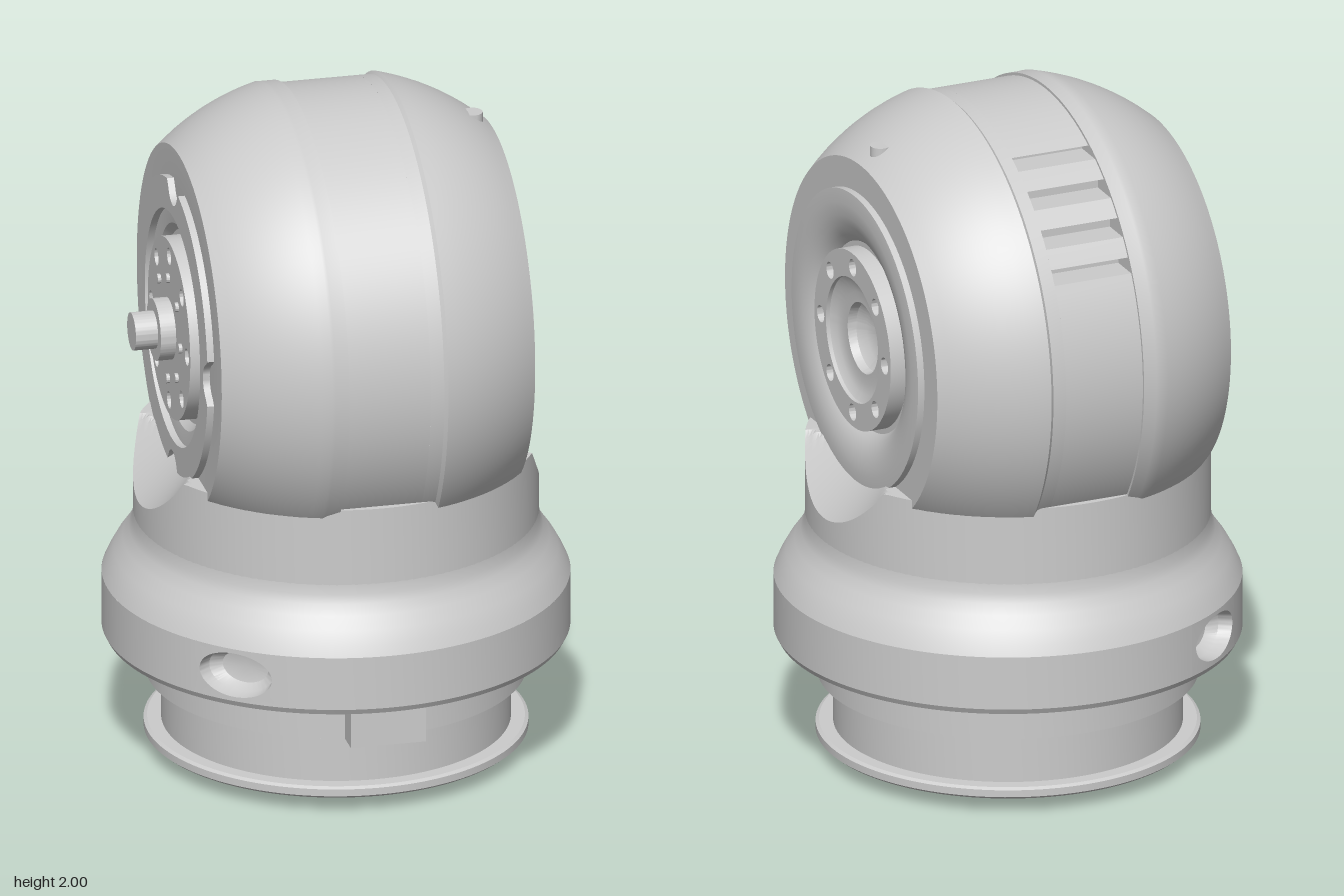
import * as THREE from 'three';
import { toCreasedNormals } from 'three/addons/utils/BufferGeometryUtils.js';

const AXIS_Y = 1.32;   // height of the horizontal joint axis
const R = 0.672;       // radius of the joint drum
const V2 = (p) => new THREE.Vector2(p[0], p[1]);

export function createModel() {
  const model = new THREE.Group();
  const mat = new THREE.MeshStandardMaterial({ color: 0xcccccc, side: THREE.DoubleSide });

  const add = (name, geo, parent = model, crease = 0.5) => {
    const mesh = new THREE.Mesh(toCreasedNormals(geo, crease), mat);
    mesh.name = name;
    parent.add(mesh);
    return mesh;
  };
  // points are [radius, y], from bottom to top
  const lathe = (pts, start = 0, length = Math.PI * 2, seg = 128) =>
    new THREE.LatheGeometry(pts.map(V2), seg, start, length);
  // points are [radius, x], turned round the joint axis
  const latheX = (pts) => lathe(pts).rotateZ(-Math.PI / 2);
  // shape in (-z, y) pushed along x from x0
  const extrudeX = (shape, x0, depth) =>
    new THREE.ExtrudeGeometry(shape, { depth, bevelEnabled: false, curveSegments: 48 })
      .rotateY(Math.PI / 2).translate(x0, 0, 0);
  const rod = (r, h, x, y, z, seg = 24) =>
    new THREE.CylinderGeometry(r, r, h, seg).translate(x, y, z);
  const ring8 = (fn) => {
    for (let i = 0; i < 8; i++) fn(Math.cos(i * Math.PI / 4), Math.sin(i * Math.PI / 4));
  };

  // ---- base: mounting flange with annular groove and centre bore
  add('baseFlange', lathe([
    [0, 0.13], [0.1, 0.13], [0.1, 0.045], [0.265, 0.045], [0.265, 0.1], [0.36, 0.1], [0.36, 0.045],
    [0.54, 0.045], [0.55, 0.053], [0.55, 0.074], [0.54, 0.08], [0.5, 0.08], [0.5, 0.23],
    [0.545, 0.23], [0.545, 0.36],
  ]));
  ring8((c, s) => {
    add('locatingPin', rod(0.023, 0.06, 0.22 * c, 0.03, 0.22 * s));
    const x = 0.445 * c, z = 0.445 * s;
    add('baseScrewRim', new THREE.TorusGeometry(0.045, 0.009, 8, 24)
      .rotateX(Math.PI / 2).translate(x, 0.045, z));
    add('baseScrew', rod(0.025, 0.02, x, 0.043, z, 6));
  });
  add('connectorBlock', new THREE.BoxGeometry(0.22, 0.12, 0.15).translate(0.01, 0.29, 0.535));

  // ---- skirt: the straight band leaves gaps for two oval ports
  add('skirtLower', lathe([[0.5, 0.347], [0.645, 0.347], [0.661, 0.353], [0.67, 0.37]]));
  add('skirtUpper', lathe([
    [0.67, 0.53], [0.657, 0.56], [0.635, 0.6], [0.61, 0.635], [0.592, 0.665], [0.583, 0.69], [0.58, 0.72],
  ]));
  const ports = [-0.68, Math.PI + 0.68], half = 0.2;
  const bandPts = [[0.67, 0.37], [0.67, 0.53]];
  add('skirtBand', lathe(bandPts, ports[0] + half, ports[1] - ports[0] - 2 * half));
  add('skirtBand', lathe(bandPts, ports[1] + half, ports[0] + 2 * Math.PI - ports[1] - 2 * half));
  // rows: [radius, blend from rectangle to oval, scale of oval]
  const rows = [[0.67, 0, 1], [0.67, 0.5, 1], [0.67, 1, 1], [0.63, 1, 0.95], [0.6, 1, 0.7], [0.59, 1, 0]];
  for (const phi of ports) {
    const n = 64, pos = [], idx = [];
    rows.forEach(([r, k, scale], i) => {
      for (let j = 0; j <= n; j++) {
        const t = (j / n) * Math.PI * 2, c = Math.cos(t), s = Math.sin(t);
        const m = Math.max(Math.abs(c), Math.abs(s));
        const a = phi + scale * c * THREE.MathUtils.lerp(half / m, 0.172, k);
        const y = 0.45 + scale * s * THREE.MathUtils.lerp(0.08 / m, 0.067, k);
        pos.push(r * Math.sin(a), y, r * Math.cos(a));
        if (i && j) {
          const d = i * (n + 1) + j - 1, p = d - n - 1;
          idx.push(p, p + 1, d, p + 1, d + 1, d);
        }
      }
    });
    const geo = new THREE.BufferGeometry();
    geo.setAttribute('position', new THREE.Float32BufferAttribute(pos, 3));
    geo.setIndex(idx);
    add('skirtPort', geo);
  }

  // ---- neck: its top is cut by a cone around each end of the joint axis
  const neckPts = [[0.58, 0.7], [0.58, 0.95]];
  for (let r = 0.57; r > 0.29; r -= 0.01) neckPts.push([r, 0.95]);
  const neck = lathe(neckPts, 0, Math.PI * 2, 192);
  const np = neck.attributes.position;
  for (let i = 0; i < np.count; i++) {
    if (np.getY(i) < 0.9) continue;
    const reach = Math.abs(np.getX(i)) - 0.05, z = np.getZ(i);
    const drop = reach > Math.abs(z) ? Math.sqrt(reach * reach - z * z) : 0;
    np.setY(i, Math.min(0.95, AXIS_Y - drop));
  }
  add('neck', neck);

  // ---- joint head, built round the x axis at the origin, then lifted
  const head = new THREE.Group();
  head.name = 'jointHead';
  head.position.y = AXIS_Y;
  model.add(head);

  const crown = [];
  for (let i = 0; i <= 10; i++) {
    const x = 0.17 + 0.29 * i / 10;
    crown.push([Math.sqrt(0.4925 - x * x), x]);
  }
  const dish = [[0.36, 0.479], [0.33, 0.47], [0.3, 0.455], [0.28, 0.435]];
  add('rightHousing', latheX([[R, 0.12], [R, 0.16], ...crown,
    [0.44, 0.46], [0.44, 0.48], [0.4, 0.483], ...dish, [0.19, 0.435]]), head);
  const leftPts = [[0.6, 0.12], [0.68, 0.12], [0.68, 0.16], ...crown, [0.34, 0.46], [0.3, 0.455],
    [0.28, 0.435], [0, 0.435]];
  add('leftHousing', latheX(leftPts.map(([r, x]) => [r, -x]).reverse()), head);

  // middle band with horizontal cooling slots at the back
  const slots = [[0.32, 0.36], [0.41, 0.455], [0.5, 0.54], [0.58, 0.605]];
  const outline = [];
  let angle = Math.asin(slots[3][1] / R) - 2 * Math.PI;
  const arcTo = (end) => {
    const steps = Math.max(1, Math.ceil((end - angle) / 0.05));
    for (let i = 0; i < steps; i++) {
      const a = angle + (end - angle) * i / steps;
      outline.push(V2([R * Math.cos(a), R * Math.sin(a)]));
    }
  };
  for (const [v0, v1] of slots) {
    const a0 = Math.asin(v0 / R), u = R * Math.cos(a0);
    arcTo(a0);
    outline.push(V2([u, v0]), V2([u - 0.09, v0]), V2([u - 0.09, v1]));
    angle = Math.asin(v1 / R);
  }
  add('slottedBand', extrudeX(new THREE.Shape(outline), -0.12, 0.24), head);

  // left rim plate with round bites at the four quarters
  const rim = new THREE.Shape();
  const rimPts = [];
  for (let i = 0; i < 240; i++) {
    const a = i / 240 * Math.PI * 2, off = Math.abs(((a + Math.PI / 4) % (Math.PI / 2)) - Math.PI / 4);
    const bite = Math.sqrt(Math.max(0, 0.06 ** 2 - (0.44 * off) ** 2));
    rimPts.push(V2([(0.44 - bite) * Math.cos(a), (0.44 - bite) * Math.sin(a)]));
  }
  rim.setFromPoints(rimPts);
  rim.holes.push(new THREE.Path().absarc(0, 0, 0.345, 0, Math.PI * 2, true));
  add('leftRim', extrudeX(rim, -0.48, 0.03), head);

  // drilled flange plates on both ends
  const plate = (inner) => {
    const s = new THREE.Shape().absarc(0, 0, 0.265, 0, Math.PI * 2, false);
    s.holes.push(new THREE.Path().absarc(0, 0, inner, 0, Math.PI * 2, true));
    ring8((c, n) => s.holes.push(new THREE.Path().absarc(0.222 * c, 0.222 * n, 0.025, 0, Math.PI * 2, true)));
    return s;
  };
  add('rightFlange', extrudeX(plate(0.185), 0.435, 0.052), head);
  add('leftFlange', extrudeX(plate(0.13), -0.49, 0.06), head);

  // right centre: shallow bowl with a round recess
  add('rightBowl', latheX([[0.19, 0.435], [0.185, 0.475], [0.165, 0.462], [0.135, 0.455], [0.105, 0.455],
    [0.1, 0.43], [0.075, 0.41], [0.04, 0.4], [0, 0.397]]), head);

  // left centre: stepped hub with small screws round it
  add('leftHub', latheX([[0, -0.6], [0.055, -0.6], [0.055, -0.535], [0.09, -0.535], [0.09, -0.49],
    [0.135, -0.49], [0.135, -0.43]]), head);
  ring8((c, s) => add('hubScrew', rod(0.014, 0.02, 0, 0, 0, 12)
    .rotateZ(Math.PI / 2).translate(-0.49, 0.155 * c, 0.155 * s), head));

  // small dowel on the right shoulder
  add('shoulderDowel', rod(0.03, 0.06, 0.4, 0.555, 0), head);

  return model;
}
